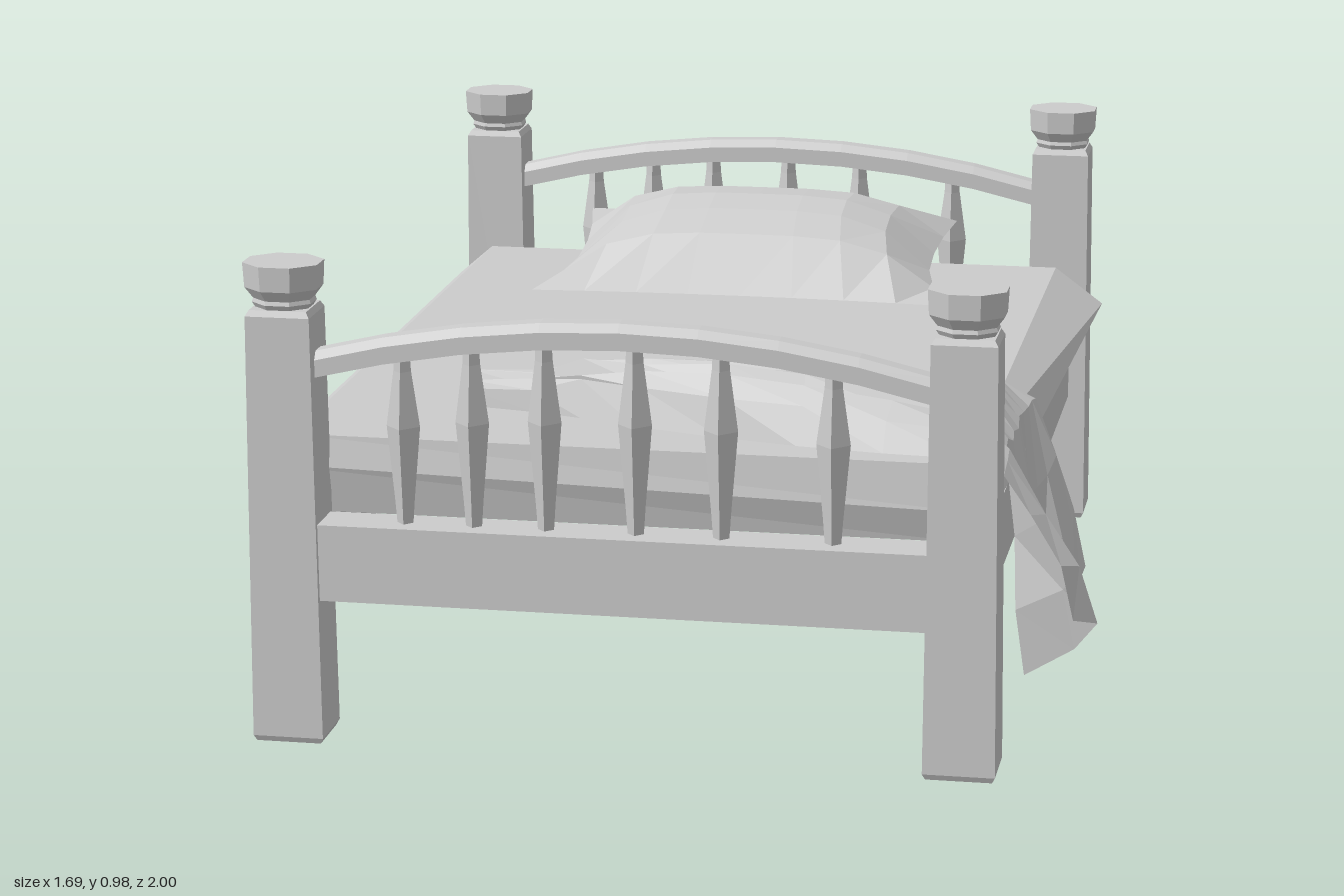
import * as THREE from 'three';

const CX = -0.09; // middle of the bed frame between the posts

// Surface through rows of [x, y, z] points; closed joins each row into a ring
function loft(rows, closed) {
  const n = rows[0].length, index = [];
  for (let i = 0; i < rows.length - 1; i++) {
    for (let j = 0; j < (closed ? n : n - 1); j++) {
      const k = (j + 1) % n;
      const a = i * n + j, b = i * n + k, c = (i + 1) * n + k, d = (i + 1) * n + j;
      index.push(a, b, d, b, c, d);
    }
  }
  const g = new THREE.BufferGeometry();
  g.setAttribute('position', new THREE.Float32BufferAttribute(rows.flat(2), 3));
  g.setIndex(index);
  g.computeVertexNormals();
  return g;
}

const lathe = (pts, sides) =>
  new THREE.LatheGeometry(pts.map(([r, y]) => new THREE.Vector2(r, y)), sides).rotateY(Math.PI / sides);

// Height of the arched rail's underside
const archY = (x) => 0.748 + 0.085 * (1 - ((x - CX) / 0.63) ** 2);

// Mattress: undercut below a wide middle edge, bevelled above it
function mattressGeometry() {
  const ring = (x0, x1, z, y) => [[x1, y, z], [x1, y, -z], [x0, y, -z], [x0, y, z]];
  const bottom = ring(-0.78, 0.585, 0.862, 0.45);
  const middle = [[0.635, 0.515, 0.882], [0.7, 0.54, -0.82], [-0.845, 0.55, -0.84], [-0.845, 0.55, 0.882]];
  const top = ring(-0.775, 0.585, 0.87, 0.61);
  const cap = (y) => Array.from({ length: 4 }, () => [CX, y, 0]);
  return loft([cap(0.45), bottom, middle, top, cap(0.61)], true);
}

// Pillow: rings across the width, pinched at the sides and resting on a raised back edge
function pillowGeometry() {
  const rows = [], nu = 8, nv = 5;
  for (let i = 0; i <= nu; i++) {
    const u = 1 - (2 * i) / nu, ring = [];
    const point = (v, side) => {
      const half = 0.41 + (v < 0 ? 0.07 : 0.03) * v * v;
      const fill = (1 - u ** 4) * Math.max(0, 1 - v * v) ** 0.45;
      const edge = 0.66 + 0.045 * v;
      const y = side > 0 ? edge + 0.13 * fill : Math.max(0.608, edge - 0.08 * fill);
      ring.push([-0.095 + u * half, y, -0.665 - v * (0.225 + 0.02 * u * u)]);
    };
    for (let j = 0; j <= nv; j++) point(-1 + (2 * j) / nv, 1);
    for (let j = nv - 1; j > 0; j--) point(-1 + (2 * j) / nv, -1);
    rows.push(ring);
  }
  return loft(rows, true);
}

// Blanket: bunched at its tail, fanning out and hanging over the side
function blanketGeometry() {
  let seed = 7;
  const rnd = () => (seed = (seed * 16807) % 2147483647) / 2147483647 - 0.5;
  // Across the cloth from back to front: height of the folds, hem swing and hem lift
  const ridge = [0, 0.3, 0.55, 0.7, 0.8, 0.9, 1, 0.85, 0.95, 1.1, 0.65, 1, 0.75, 0];
  const swing = [0.03, 0.03, 0.02, -0.02, -0.04, -0.02, 0, 0.01, 0.015, -0.02, -0.05, 0.06, 0.1, 0.06];
  const lift = [0.1, 0.08, 0.05, 0.02, 0.01, 0, 0, 0, 0.02, 0.01, 0, 0.08, 0.15, 0.17];
  // x, edge height, back z, front z, rise above the edge, hang (0 lying, 1 hanging)
  const sections = [
    [-0.475, 0.625, 0.44, 0.65, 0.05, 0],
    [-0.33, 0.62, 0.45, 0.66, 0.06, 0],
    [-0.23, 0.62, 0.46, 0.69, 0.09, 0],
    [-0.1, 0.62, 0.45, 0.735, 0.1, 0],
    [0.08, 0.62, 0.43, 0.79, 0.11, 0],
    [0.24, 0.62, 0.37, 0.825, 0.105, 0],
    [0.42, 0.62, 0.3, 0.85, 0.08, 0],
    [0.58, 0.62, 0.25, 0.86, 0.055, 0],
    [0.645, 0.575, 0.245, 0.87, 0.03, 0.1],
    [0.685, 0.43, 0.25, 0.87, 0, 0.5],
    [0.715, 0.27, 0.255, 0.87, 0, 0.85],
    [0.735, 0.13, 0.265, 0.86, 0, 1],
  ];
  const rows = sections.map(([x, y, z0, z1, rise, hang]) =>
    ridge.map((r, j) => {
      const t = j / (ridge.length - 1), inner = r > 0 ? 1 : 0;
      return [
        x + swing[j] * hang + rnd() * 0.012,
        y + rise * r + lift[j] * hang + rnd() * 0.016 * inner,
        z0 + (z1 - z0) * t + rnd() * 0.02 * inner,
      ];
    }));
  return loft(rows.reverse(), false);
}

export function createModel() {
  const model = new THREE.Group();
  model.name = 'bed';
  const grey = new THREE.MeshStandardMaterial({ color: 0xcccccc, flatShading: true, side: THREE.DoubleSide });
  grey.name = 'plain grey';

  const add = (parent, name, geometry, x = 0, y = 0, z = 0) => {
    const mesh = new THREE.Mesh(geometry, grey);
    mesh.name = name;
    mesh.position.set(x, y, z);
    parent.add(mesh);
  };

  // Square posts, slightly tapered with bevelled ends, and eight-sided caps
  const q = Math.SQRT2;
  const postGeo = lathe([[0, 0], [0.066 * q, 0], [0.072 * q, 0.012], [0.065 * q, 0.878], [0.058 * q, 0.89], [0, 0.89]], 4)
    .scale(1, 1, 0.89);
  const capGeo = lathe([[0.055, 0.885], [0.065, 0.9], [0.062, 0.908], [0.079, 0.93], [0.082, 0.98], [0, 0.98]], 8)
    .scale(1, 1, 0.89);

  // Arched top rail with a chamfered upper edge
  const steps = 8, archRows = [];
  for (let i = 0; i <= steps; i++) {
    const x = CX + 0.63 - (1.26 * i) / steps, y = archY(x);
    archRows.push([[0.03, 0], [0.03, 0.035], [0.018, 0.052], [-0.018, 0.052], [-0.03, 0.035], [-0.03, 0]]
      .map(([z, dy]) => [x, y + dy, z]));
  }
  const archGeo = loft(archRows, true);

  // Headboard and footboard are alike
  for (const [name, s] of [['headboard', -1], ['footboard', 1]]) {
    const board = new THREE.Group();
    board.name = name;
    board.position.z = s * 0.932;
    model.add(board);
    for (const x of [-0.766, 0.59]) {
      add(board, 'post', postGeo, x);
      add(board, 'postCap', capGeo, x);
    }
    add(board, 'lowerRail', new THREE.BoxGeometry(1.24, 0.157, 0.1), CX, 0.377, 0);
    add(board, 'archedRail', archGeo);
    for (const x of [-0.53, -0.39, -0.244, -0.063, 0.108, 0.33]) {
      const h = archY(x) - 0.44;
      const spindle = lathe([[0.016, 0], [0.02, h * 0.15], [0.034, h * 0.58], [0.018, h * 0.9], [0.016, h]], 4);
      add(board, 'spindle', spindle.rotateY(Math.PI / 4), x, 0.45, 0);
    }
  }

  // Side rails
  for (const x of [-0.785, 0.58]) {
    add(model, 'sideRail', new THREE.BoxGeometry(0.08, 0.157, 1.76), x, 0.377, 0);
  }

  // Bedding
  add(model, 'mattress', mattressGeometry());
  add(model, 'pillow', pillowGeometry());
  add(model, 'blanket', blanketGeometry());
  return model;
}
